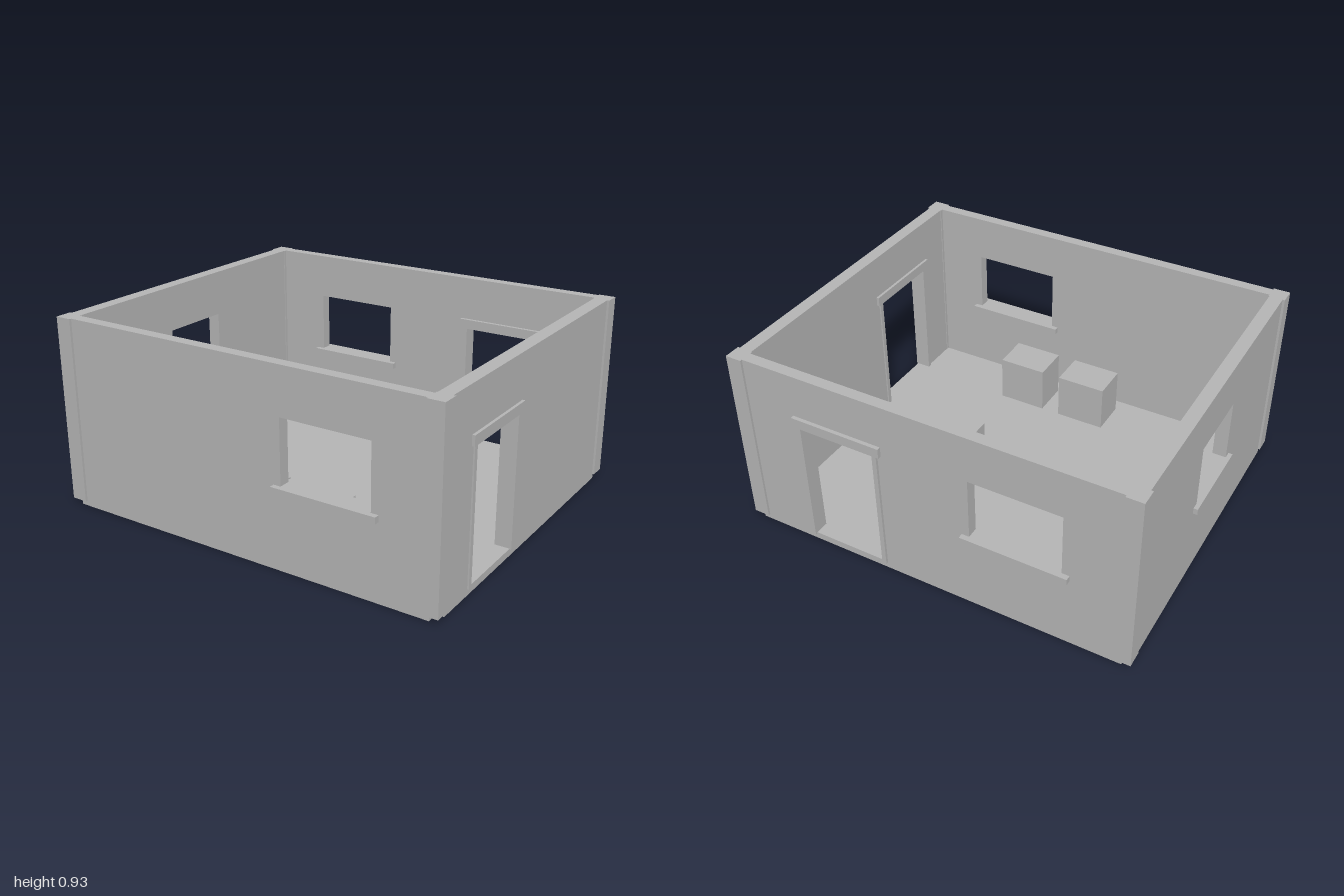
import * as THREE from 'three';

const H = 0.925;      // wall top
const BASE = 0.025;   // underside of walls and corner posts
const FLOOR = 0.035;  // floor level

export function createModel() {
  const house = new THREE.Group();
  house.name = 'openHouse';
  const plaster = new THREE.MeshStandardMaterial({ color: 0xb4b4b4 });
  plaster.name = 'grey plaster';

  const add = (parent, name, geometry) => {
    const mesh = new THREE.Mesh(geometry, plaster);
    mesh.name = name;
    parent.add(mesh);
    return mesh;
  };

  // Box given by its limits on each axis
  const box = (parent, name, [x0, x1], [y0, y1], [z0, z1]) => {
    const mesh = add(parent, name, new THREE.BoxGeometry(x1 - x0, y1 - y0, z1 - z0));
    mesh.position.set((x0 + x1) / 2, (y0 + y1) / 2, (z0 + z1) / 2);
  };

  // Wall in its own plane (u along the wall), with windows, doors, sills and frames
  const wall = (name, half, thickness, { windows = [], doors = [] }) => {
    const group = new THREE.Group();
    group.name = name;
    const outline = [[-half, BASE]];
    for (const [a, b] of doors) outline.push([a, BASE], [a, 0.664], [b, 0.664], [b, BASE]);
    outline.push([half, BASE], [half, H], [-half, H]);
    const shape = new THREE.Shape(outline.map(([u, y]) => new THREE.Vector2(u, y)));
    for (const [a, b] of windows) {
      shape.holes.push(new THREE.Path(
        [[a, 0.38], [a, 0.7], [b, 0.7], [b, 0.38]].map(([u, y]) => new THREE.Vector2(u, y))));
      box(group, 'windowSill', [a - 0.036, b + 0.036], [0.365, 0.395], [-0.053, 0.053]);
    }
    const panel = new THREE.ExtrudeGeometry(shape, { depth: thickness, bevelEnabled: false });
    panel.translate(0, 0, -thickness / 2);
    add(group, 'wallPanel', panel);

    for (const [a, b] of doors) {
      box(group, 'doorLintel', [a - 0.018, b + 0.016], [0.664, 0.712], [-0.046, 0.046]);
      box(group, 'doorJamb', [a, a + 0.022], [0.03, 0.664], [-0.04, 0.04]);
      box(group, 'doorJamb', [b - 0.022, b], [0.03, 0.664], [-0.04, 0.04]);
    }
    house.add(group);
    return group;
  };

  wall('frontWall', 0.98, 0.055, { windows: [[0.238, 0.674]] }).position.z = 0.8125;
  wall('backWall', 0.98, 0.055, { windows: [[-0.656, -0.218]], doors: [[0.226, 0.648]] }).position.z = -0.8125;

  const rightWall = wall('doorSideWall', 0.785, 0.065, { doors: [[0.167, 0.588]] });
  rightWall.position.x = 0.9475;
  rightWall.rotation.y = -Math.PI / 2;
  const leftWall = wall('windowSideWall', 0.785, 0.065, { windows: [[-0.181, 0.181]] });
  leftWall.position.x = -0.9475;
  leftWall.rotation.y = -Math.PI / 2;

  // Corner posts, standing slightly proud of the walls
  for (const x of [-0.951, 0.951]) {
    for (const z of [-0.811, 0.811]) {
      box(house, 'cornerPost', [x - 0.04, x + 0.04], [BASE, H], [z - 0.04, z + 0.04]);
    }
  }

  // Floor slab with notched corners
  const X = 0.98, Z = 0.84, nx = 0.945, nz = 0.78;
  const slab = new THREE.Shape([
    [-nx, -Z], [nx, -Z], [nx, -nz], [X, -nz], [X, nz], [nx, nz],
    [nx, Z], [-nx, Z], [-nx, nz], [-X, nz], [-X, -nz], [-nx, -nz],
  ].map(([x, z]) => new THREE.Vector2(x, z)));
  const slabGeometry = new THREE.ExtrudeGeometry(slab, { depth: FLOOR, bevelEnabled: false });
  slabGeometry.rotateX(-Math.PI / 2);
  add(house, 'floorSlab', slabGeometry);

  // Storage blocks on the floor
  const blocks = [
    [[0.204, 0.48], [-0.19, 0]],
    [[-0.195, 0.058], [0.527, 0.714]],
    [[0.155, 0.402], [0.527, 0.714]],
  ];
  for (const [xs, zs] of blocks) box(house, 'storageBlock', xs, [FLOOR, 0.272], zs);

  return house;
}
